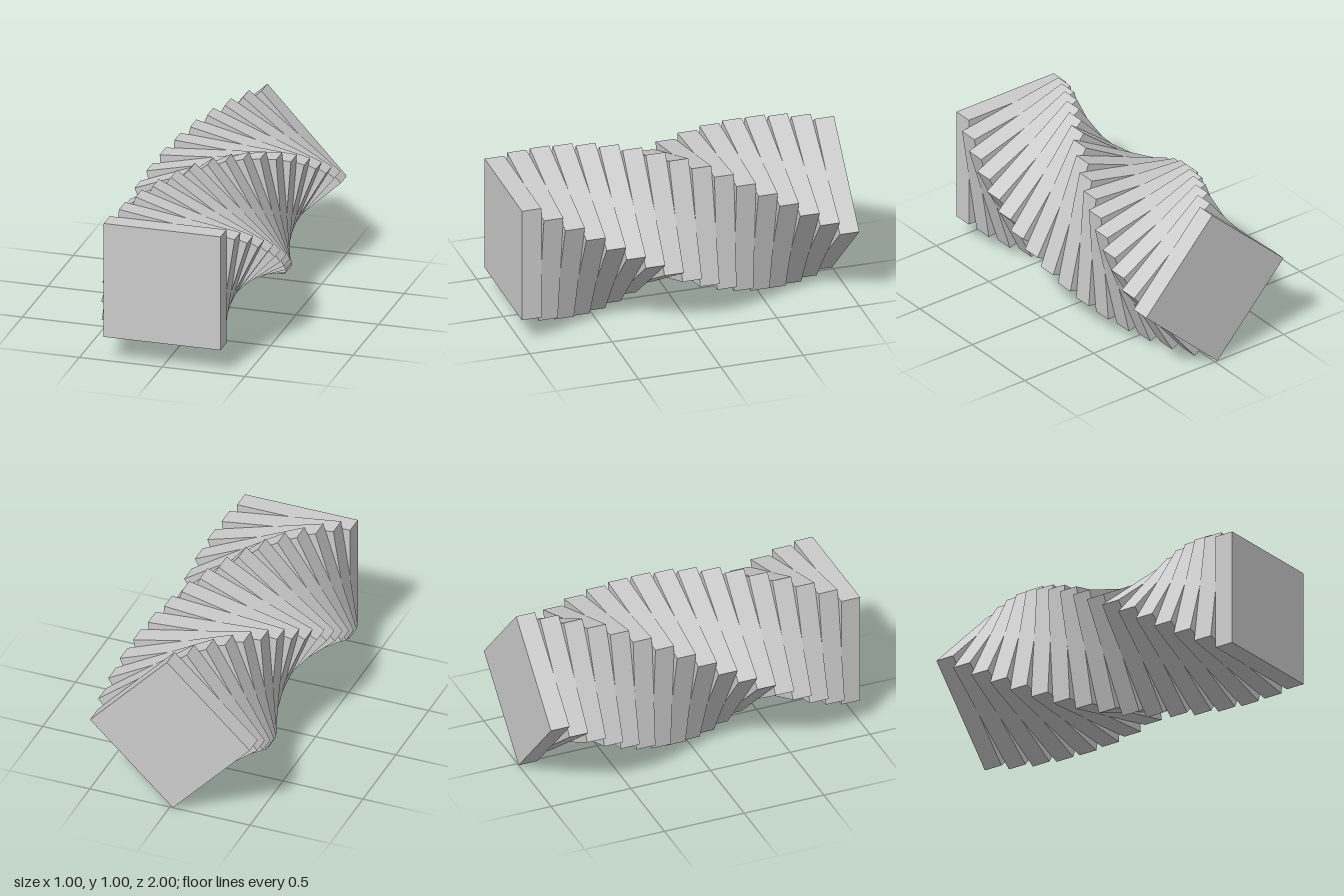
import * as THREE from 'three';

const COUNT = 17;
const DEPTH = 2 / COUNT;        // slab thickness
const SIDE = DEPTH * 6;         // slab width and height
const STEP = Math.PI / 21;      // twist between neighbouring slabs

export function createModel() {
  const model = new THREE.Group();
  model.name = 'twistedStack';

  const material = new THREE.MeshStandardMaterial({ color: 0xcccccc });
  const geometry = new THREE.BoxGeometry(SIDE, SIDE, DEPTH);

  // Height of the axis so that the lowest corner rests on the ground
  const axisY = (SIDE / Math.SQRT2) * Math.cos(5 * STEP - Math.PI / 4);

  // Square slabs from front to back, each turned clockwise a little further
  for (let i = 0; i < COUNT; i++) {
    const slab = new THREE.Mesh(geometry, material);
    slab.name = `slab${i + 1}`;
    slab.position.set(0, axisY, 1 - DEPTH * (i + 0.5));
    slab.rotation.z = -i * STEP;
    model.add(slab);
  }
  return model;
}
